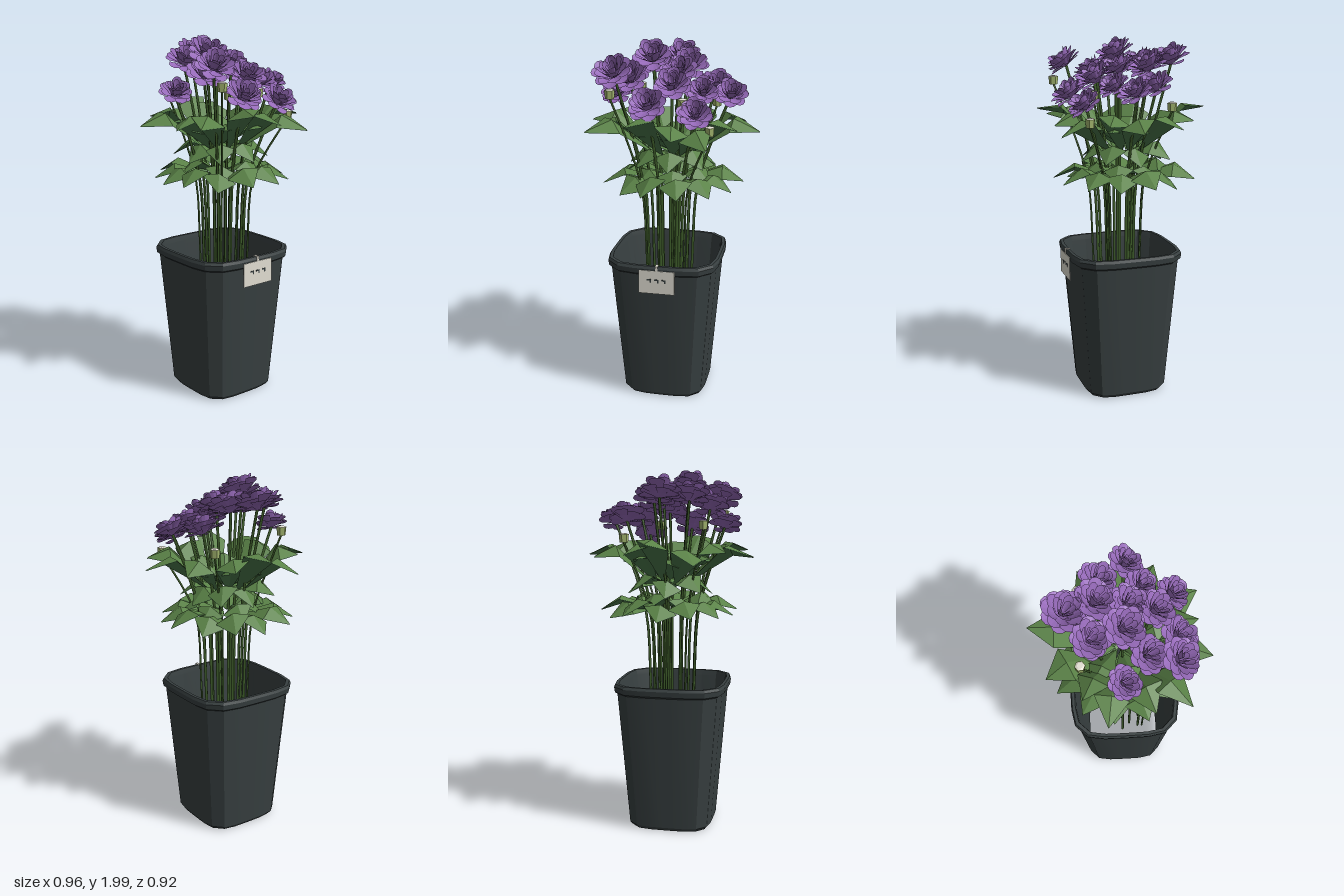
import * as THREE from 'three';
import { mergeGeometries, toCreasedNormals } from 'three/addons/utils/BufferGeometryUtils.js';

const mat = (name, color, extra = {}) => {
  const m = new THREE.MeshStandardMaterial({ color, side: THREE.DoubleSide, ...extra });
  m.name = name;
  return m;
};
const V = (x, y, z) => new THREE.Vector3(x, y, z);

// Centre of the pot on the ground plane
const CX = -0.02, CZ = 0.025;

// Flower heads: x, y, z, radius
const FLOWERS = [
  [0, 1.88, -0.26, 0.114], [-0.14, 1.86, -0.14, 0.105], [0.06, 1.85, -0.11, 0.112],
  [0.22, 1.75, -0.09, 0.104], [-0.31, 1.71, 0.01, 0.09], [-0.11, 1.91, 0.02, 0.11],
  [0.04, 1.84, 0.05, 0.1], [0.32, 1.73, 0.05, 0.093], [0.18, 1.75, 0.12, 0.09],
  [-0.21, 1.81, 0.13, 0.103], [0.03, 1.79, 0.18, 0.103], [-0.26, 1.86, 0.275, 0.104],
  [-0.08, 1.7, 0.29, 0.104], [0.17, 1.66, 0.28, 0.096],
];

// Closed buds: x, y, z
const BUDS = [
  [0.245, 1.565, 0.265], [-0.26, 1.75, 0.33], [0.21, 1.63, -0.2], [-0.22, 1.7, -0.2], [0.09, 1.69, 0.2],
];

// Tips of the upper leaves: x, z
const UPPER_TIPS = [
  [0.04, -0.46], [0.18, -0.34], [0.38, -0.2], [0.48, 0.05], [0.38, 0.2], [0.25, 0.42], [0.07, 0.41],
  [-0.16, 0.455], [-0.4, 0.34], [-0.42, 0.16], [-0.48, -0.08], [-0.34, -0.2], [-0.2, -0.38],
];

// Rounded-square tub with an open base, made by squaring off a lathe
function potGeometry() {
  const profile = [[0.22, 0], [0.235, 0.02], [0.295, 0.775], [0.308, 0.785], [0.312, 0.815],
    [0.305, 0.83], [0.288, 0.83], [0.282, 0.8], [0.22, 0]];
  const g = new THREE.LatheGeometry(profile.map(p => new THREE.Vector2(...p)), 24, Math.PI / 24);
  const p = g.attributes.position;
  for (let i = 0; i < p.count; i++) {
    const x = p.getX(i), z = p.getZ(i), r = Math.hypot(x, z);
    const k = r / Math.pow(Math.abs(x) ** 4.4 + Math.abs(z) ** 4.4, 1 / 4.4);
    p.setXYZ(i, x * k, p.getY(i), z * k);
  }
  return toCreasedNormals(g, 0.16);
}

// One petal: radius and height reached at its tip
function petal(angle, span, reach, rise, curl) {
  const g = new THREE.PlaneGeometry(2, 1, 4, 3);
  const p = g.attributes.position;
  for (let i = 0; i < p.count; i++) {
    const u = p.getX(i);
    const t = (p.getY(i) + 0.5) * (1 - 0.2 * u * u);
    const r = 0.06 + (reach - 0.06) * Math.pow(t, 0.8);
    const y = -0.36 + (rise + 0.36) * Math.pow(t, curl) + 0.08 * u * u * t;
    const a = angle + u * span;
    p.setXYZ(i, Math.sin(a) * r, y, Math.cos(a) * r);
  }
  return g;
}

// Rings of petals from the flat skirt to the upright heart, unit radius
function blossomGeometry() {
  const rings = [ // count, half span, reach, rise, curl
    [7, 0.47, 0.98, -0.22, 0.4], [7, 0.46, 0.98, 0.06, 0.7], [7, 0.46, 0.84, 0.3, 1.0],
    [6, 0.5, 0.64, 0.46, 1.2], [5, 0.54, 0.44, 0.5, 1.2], [3, 0.8, 0.24, 0.38, 1.2],
  ];
  const parts = [];
  rings.forEach(([n, span, reach, rise, curl], k) => {
    for (let i = 0; i < n; i++) {
      const wobble = 0.1 * Math.sin(i * 2.4 + k);
      parts.push(petal((i + k * 0.5) / n * Math.PI * 2, span, reach * (1 + wobble * 0.6), rise + wobble, curl));
    }
  });
  const g = mergeGeometries(parts).toNonIndexed();
  g.computeVertexNormals();
  return g;
}

// Diamond leaf folded along its midrib, rolled to one side; gives its top and underside
function leaf(angle, r0, r1, y0, yMid, y1, width, roll) {
  const rm = r0 + (r1 - r0) * 0.62;
  const s = Math.sin(angle), c = Math.cos(angle);
  const at = (r, y, w) => [s * r + c * w, y, c * r - s * w];
  const base = at(r0, y0, 0), mid = at(rm, yMid, 0), tip = at(r1, y1, 0);
  const left = at(rm, yMid - 0.03 + roll, width), right = at(rm, yMid - 0.03 - roll, -width);
  const under = [base, left, mid, mid, left, tip, base, mid, right, mid, tip, right];
  return [[...under].reverse(), under].map((tris, side) => {
    const g = new THREE.BufferGeometry();
    g.setAttribute('position', new THREE.Float32BufferAttribute(tris.flat(), 3));
    g.translate(0, -0.004 * side, 0);
    g.computeVertexNormals();
    return g;
  });
}

// Stem that stands in the pot and fans out to its head
function stem(head, radius) {
  const at = (f, y) => V(CX * (1 - f) + head.x * f, y, CZ * (1 - f) + head.z * f);
  const curve = new THREE.CatmullRomCurve3([
    at(0.37, 0.3), at(0.41, 0.8), at(0.48, 1.2), at(0.7, 1.2 + (head.y - 1.2) * 0.5), head,
  ]);
  return new THREE.TubeGeometry(curve, 14, radius, 5);
}

export function createModel() {
  const model = new THREE.Group();
  const flat = { flatShading: true };
  const potMat = mat('charcoal plastic', 0x384041);
  const petalMat = mat('purple petal', 0x966ab9, flat);
  const leafMat = mat('leaf green', 0x5a8247, flat);
  const underMat = mat('leaf underside green', 0x4a764a, flat);
  const stemMat = mat('stem green', 0x3f5e2b);
  const budMat = mat('bud green', 0xa5b870, flat);
  const creamMat = mat('cream', 0xe2dfd3);

  const add = (name, geometry, material, parent = model) => {
    const m = new THREE.Mesh(geometry, material);
    m.name = name;
    parent.add(m);
    return m;
  };

  // Pot
  add('pot', potGeometry(), potMat).position.set(CX, 0, CZ);

  // Hanging label with a clip folded over the rim and printed marks
  const label = new THREE.Group();
  label.name = 'label';
  label.position.set(-0.022, 0.742, 0.34);
  model.add(label);
  add('labelCard', new THREE.BoxGeometry(0.197, 0.132, 0.003), creamMat, label);
  add('labelClip', new THREE.BoxGeometry(0.014, 0.03, 0.004), creamMat, label).position.y = 0.078;
  add('labelHook', new THREE.BoxGeometry(0.014, 0.004, 0.03), creamMat, label).position.set(0, 0.091, -0.013);
  for (const x of [-0.04, 0, 0.04]) {
    add('labelDash', new THREE.BoxGeometry(0.024, 0.008, 0.002), potMat, label).position.set(x, 0.014, 0.002);
    add('labelTick', new THREE.BoxGeometry(0.008, 0.016, 0.002), potMat, label).position.set(x + 0.008, 0.006, 0.002);
  }

  // Flowers, leaning forward and slightly outward
  const blossom = blossomGeometry();
  const stems = [];
  FLOWERS.forEach(([x, y, z, r], i) => {
    const facing = V(x * 0.5, 1, 0.55 + z * 0.6).normalize();
    const f = add('flower', blossom, petalMat);
    f.position.set(x, y, z);
    f.quaternion.setFromUnitVectors(V(0, 1, 0), facing);
    f.rotateY(i * 1.3);
    f.scale.setScalar(r);
    stems.push(stem(V(x, y, z).addScaledVector(facing, -0.32 * r), 0.008));
  });

  // Buds with pale tops
  for (const [x, y, z] of BUDS) {
    const bud = new THREE.Group();
    bud.name = 'bud';
    bud.position.set(x, y, z);
    bud.rotation.y = x * 9;
    model.add(bud);
    add('budBody', new THREE.CylinderGeometry(0.027, 0.023, 0.044, 6), budMat, bud);
    add('budTop', new THREE.CylinderGeometry(0.016, 0.024, 0.005, 6), creamMat, bud).position.y = 0.0245;
    stems.push(stem(V(x, y - 0.02, z), 0.006));
  }
  add('stems', mergeGeometries(stems), stemMat);

  const addLeaves = (name, leaves) => {
    add(name, mergeGeometries(leaves.map(l => l[0])), leafMat);
    add(name + 'Underside', mergeGeometries(leaves.map(l => l[1])), underMat);
  };

  // Upper leaves reach up and out, then droop at the tip
  addLeaves('upperLeaves', UPPER_TIPS.map(([x, z], i) => {
    const lift = [0.08, 0.02, 0, 0, 0.03, -0.03, 0.01][i % 7];
    const roll = 0.025 * (i % 2 ? 1 : -1);
    return leaf(Math.atan2(x, z), 0.1, Math.hypot(x, z), 1.38, 1.59 + lift * 0.5, 1.53 + lift, 0.088, roll);
  }));

  // Shorter leaves in the middle and a spreading lower tier
  const tier = (name, n, shift, r0, r1, y0, yMid, y1, w) => {
    const leaves = [];
    for (let i = 0; i < n; i++) {
      const k = Math.sin(i * 2.7 + shift);
      const angle = (i + shift) / n * Math.PI * 2;
      leaves.push(leaf(angle, r0, r1 + 0.02 * k, y0, yMid + 0.015 * k, y1 + 0.015 * k, w, 0.025 * k));
    }
    addLeaves(name, leaves);
  };
  tier('innerUpperLeaves', 8, 0.3, 0.02, 0.27, 1.4, 1.53, 1.51, 0.075);
  tier('middleLeaves', 8, 0.1, 0.02, 0.25, 1.38, 1.42, 1.33, 0.08);
  tier('lowerLeaves', 13, 0.5, 0.08, 0.375, 1.24, 1.295, 1.215, 0.088);
  tier('innerLowerLeaves', 7, 0.2, 0.02, 0.26, 1.25, 1.32, 1.24, 0.08);

  return model;
}
